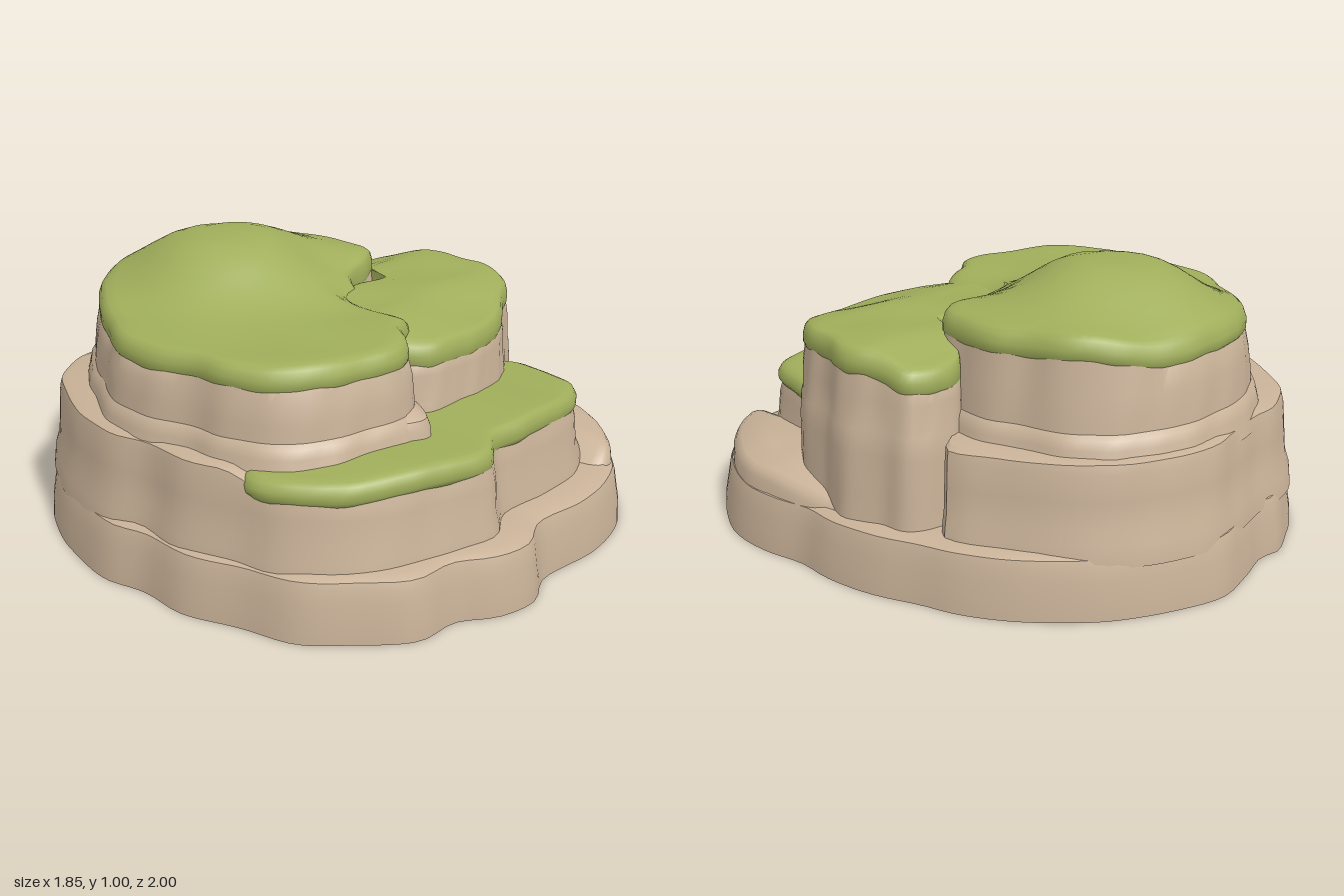
import * as THREE from 'three';
import { toCreasedNormals } from 'three/addons/utils/BufferGeometryUtils.js';

const rock = new THREE.MeshStandardMaterial({ color: 0xc8b197 });
rock.name = 'sandstone';
const grass = new THREE.MeshStandardMaterial({ color: 0xa0ae5b });
grass.name = 'grass';

const smooth = THREE.MathUtils.smoothstep;
const SIDES = 128;

// Closed smooth outline through (x, z) points, running back, right, front, left
function outline(points) {
  const curve = new THREE.CatmullRomCurve3(points.map(([x, z]) => new THREE.Vector3(x, 0, z)), true);
  return curve.getSpacedPoints(SIDES).slice(0, SIDES);
}

// Stack of rings scaled about a centre; each ring is [scale, height or height(x, z)]
function layer(name, material, points, [cx, cz], rings, crag = 0, crease = 0.6) {
  const loop = outline(points);
  const pos = [], index = [];
  rings.forEach(([scale, height], r) => {
    loop.forEach((p, i) => {
      const a = (i / SIDES) * Math.PI * 2;
      const s = scale * (1 + crag * (Math.sin(a * 17 + r * 0.3) + Math.sin(a * 29 + r * 0.8) * 0.6));
      const x = cx + (p.x - cx) * s, z = cz + (p.z - cz) * s;
      pos.push(x, typeof height === 'function' ? height(x, z) : height, z);
    });
  });
  for (let r = 0; r < rings.length - 1; r++) {
    for (let i = 0; i < SIDES; i++) {
      const j = (i + 1) % SIDES;
      const a = r * SIDES + i, b = r * SIDES + j, c = a + SIDES, d = b + SIDES;
      if (rings[r][0] > 0) index.push(a, c, b);
      if (rings[r + 1][0] > 0) index.push(b, c, d);
    }
  }
  const geo = new THREE.BufferGeometry();
  geo.setAttribute('position', new THREE.Float32BufferAttribute(pos, 3));
  geo.setIndex(index);
  const mesh = new THREE.Mesh(toCreasedNormals(geo, crease), material);
  mesh.name = name;
  return mesh;
}

// Grass slab with a rounded rim that follows a height function
function cap(name, points, centre, h, thick) {
  const at = (k) => (x, z) => h(x, z) - thick * k;
  const rings = [[0.93, at(1)], [0.985, at(0.98)], [1.005, at(0.75)], [1.005, at(0.45)], [0.985, at(0.15)], [0.955, at(0.03)]];
  for (let i = 9; i >= 0; i--) rings.push([i / 10, h]);
  return layer(name, grass, points, centre, rings, 0.002, 1.2);
}

// Top surface of the hill, the right lobe and the lower shelves
const hillTop = (x, z) => {
  const d = Math.hypot(x + 0.08, z + 0.38);
  return 0.808 + 0.192 * Math.exp(-Math.pow(d / 0.35, 3))
    + 0.055 * smooth(x, 0.08, 0.38) * smooth(-z, -0.05, 0.1)
    + 0.015 * smooth(-z, 0.5, 0.8)
    - 0.06 * smooth(x, -0.05, 0.12) * smooth(z, -0.02, 0.1)
    + 0.005 * Math.sin(x * 14) * Math.sin(z * 12);
};
const lobeTop = (x, z) => 0.797 - 0.06 * smooth(z, 0.22, 0.52) - 0.05 * smooth(-z, 0.05, 0.28)
  + 0.005 * Math.sin(x * 13) * Math.cos(z * 15);
const frontTop = (x, z) => 0.505 + 0.006 * Math.sin(x * 11) - 0.01 * smooth(x, 0.2, 0.6);
const shelfTop = (x, z) => 0.51 - 0.055 * smooth(z, 0.22, 0.42);
const ledgeTop = (x, z) => 0.2 + 0.11 * smooth(x, 0.38, 0.6) * smooth(z, -0.25, 0.35) - 0.03 * smooth(x, 0.7, 0.88)
  - 0.03 * smooth(z, 0.5, 0.85);
const below = (h, k) => (x, z) => h(x, z) - k;

const BASE = [[0, -1], [0.2, -0.95], [0.4, -0.85], [0.6, -0.67], [0.72, -0.49], [0.77, -0.36], [0.84, -0.2],
  [0.88, -0.02], [0.88, 0.12], [0.92, 0.28], [0.925, 0.45], [0.87, 0.62], [0.75, 0.8], [0.6, 0.92], [0.42, 0.98],
  [0.25, 0.99], [0, 0.95], [-0.15, 1], [-0.3, 0.96], [-0.42, 0.87], [-0.58, 0.84], [-0.72, 0.7], [-0.83, 0.55],
  [-0.87, 0.35], [-0.92, 0.15], [-0.9, -0.05], [-0.92, -0.2], [-0.87, -0.4], [-0.78, -0.6], [-0.65, -0.77],
  [-0.5, -0.87], [-0.38, -0.925], [-0.3, -0.915], [-0.15, -0.965]];
const SHELF = [[0, -0.91], [0.22, -0.86], [0.42, -0.72], [0.55, -0.53], [0.63, -0.36], [0.5, -0.24], [0.46, 0.1],
  [0.5, 0.35], [0.57, 0.42], [0.57, 0.55], [0.52, 0.72], [0.36, 0.79], [0.15, 0.79], [-0.04, 0.76], [-0.18, 0.82],
  [-0.32, 0.78], [-0.5, 0.71], [-0.65, 0.61], [-0.76, 0.45], [-0.79, 0.3], [-0.83, 0.1], [-0.81, -0.08],
  [-0.83, -0.22], [-0.79, -0.4], [-0.7, -0.58], [-0.58, -0.74], [-0.42, -0.83], [-0.3, -0.84], [-0.15, -0.88]];
const LEDGE = [[0.42, 0.86], [0.4, 0.6], [0.45, 0.2], [0.6, -0.18], [0.78, -0.18], [0.82, 0.06], [0.86, 0.22],
  [0.88, 0.42], [0.82, 0.6], [0.7, 0.77], [0.56, 0.87]];
const HILL = [[0, -0.82], [0.15, -0.79], [0.28, -0.72], [0.37, -0.62], [0.41, -0.5], [0.46, -0.38], [0.46, -0.24],
  [0.43, -0.11], [0.33, -0.05], [0.18, -0.01], [0.14, 0.2], [0.02, 0.36], [-0.1, 0.42], [-0.17, 0.49], [-0.28, 0.52],
  [-0.42, 0.48], [-0.55, 0.44], [-0.67, 0.33], [-0.72, 0.18], [-0.72, 0.05], [-0.75, -0.1], [-0.73, -0.27],
  [-0.64, -0.42], [-0.53, -0.58], [-0.4, -0.71], [-0.25, -0.79]];
const LOBE = [[-0.09, 0.42], [-0.12, 0.3], [-0.08, 0.1], [0.08, 0.02], [0.2, -0.01], [0.38, 0], [0.41, -0.12],
  [0.48, -0.25], [0.58, -0.28], [0.69, -0.25], [0.73, -0.14], [0.78, -0.02], [0.75, 0.1], [0.74, 0.22], [0.67, 0.35],
  [0.55, 0.41], [0.42, 0.48], [0.25, 0.52], [0.1, 0.51], [-0.03, 0.48]];
const FRONT = [[0.57, 0.41], [0.6, 0.47], [0.58, 0.6], [0.54, 0.73], [0.42, 0.79], [0.25, 0.8], [0.08, 0.79],
  [-0.05, 0.765], [-0.18, 0.825], [-0.33, 0.79], [-0.5, 0.72], [-0.66, 0.62], [-0.77, 0.46], [-0.8, 0.35],
  [-0.74, 0.27], [-0.5, 0.26], [-0.1, 0.26], [0.3, 0.3]];
const OUTCROP = [[-0.22, 0.42], [-0.1, 0.46], [-0.14, 0.54], [-0.21, 0.6], [-0.29, 0.57], [-0.35, 0.5]];

export function createModel() {
  const group = new THREE.Group();
  group.name = 'grassyRock';
  const mid = [-0.1, 0], hillMid = [-0.15, -0.15], lobeMid = [0.3, 0.15];

  // Rock tiers from the ground up
  group.add(
    layer('baseRock', rock, BASE, [0, 0], [[0, 0], [1, 0], [0.995, 0.06], [0.982, 0.13], [0.974, 0.175], [0.965, 0.2],
      [0.935, 0.215], [0.8, 0.215], [0, 0.215]], 0.001),
    layer('sideLedge', rock, LEDGE, [0.6, 0.4], [[1.06, 0.16], [1.03, below(ledgeTop, 0.035)], [0.99, below(ledgeTop, 0.012)],
      [0.93, ledgeTop], [0.6, ledgeTop], [0, ledgeTop]], 0.002),
    layer('middleRock', rock, SHELF, mid, [[1.065, 0.17], [1.055, 0.24], [1.035, 0.29], [1.025, 0.38],
      [1.015, below(shelfTop, 0.04)], [1.005, below(shelfTop, 0.01)], [0.975, shelfTop], [0.8, shelfTop], [0, shelfTop]], 0.002),
    layer('upperRock', rock, HILL, hillMid, [[1.12, 0.46], [1.09, 0.53], [1.075, 0.56], [1.05, 0.575], [1.04, 0.63],
      [1.025, 0.69], [0.995, below(hillTop, 0.065)], [0.95, below(hillTop, 0.045)], [0.9, 0.7], [0, 0.7]], 0.003),
    layer('rightLobeRock', rock, LOBE, lobeMid, [[1.09, 0.18], [1.07, 0.3], [1.06, 0.45], [1.045, 0.53], [1.03, 0.55],
      [1.02, 0.63], [0.985, below(lobeTop, 0.06)], [0.94, below(lobeTop, 0.045)], [0.9, 0.65], [0, 0.65]], 0.004),
    layer('frontOutcrop', rock, OUTCROP, [-0.22, 0.46], [[1.12, 0.45], [1.05, 0.53], [0.95, 0.56], [0.7, 0.58], [0, 0.6]]),
  );

  // Grass on the hill, the right lobe and the front shelf
  group.add(
    cap('hillGrass', HILL, hillMid, hillTop, 0.095),
    cap('rightLobeGrass', LOBE, lobeMid, lobeTop, 0.095),
    cap('frontShelfGrass', FRONT, [-0.1, 0.42], frontTop, 0.08),
  );
  return group;
}
